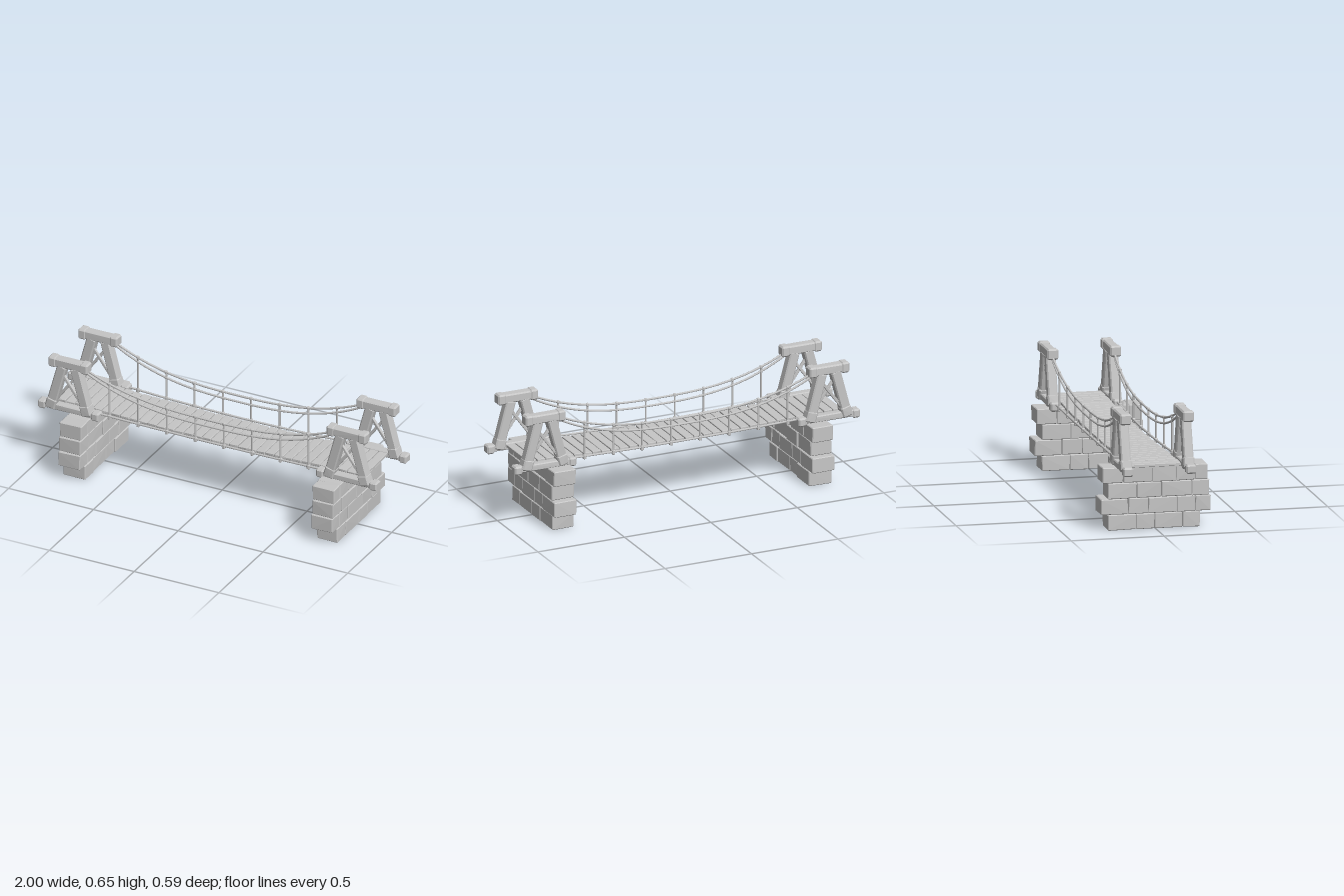
import * as THREE from 'three';
import { ConvexGeometry } from 'three/addons/geometries/ConvexGeometry.js';

const grey = new THREE.MeshStandardMaterial({ color: 0xc6c6c6 });
grey.name = 'weathered grey';

let seed = 7;
const rand = () => {
  seed = (seed * 16807) % 2147483647;
  return seed / 2147483647 - 0.5;
};

// Box with chamfered edges; jitter shifts its corners for a hand-cut look
function block(w, h, d, c, jitter = 0) {
  const pts = [];
  for (const sx of [-1, 1]) for (const sy of [-1, 1]) for (const sz of [-1, 1]) {
    const x = sx * w / 2 + rand() * jitter;
    const y = sy * h / 2 + rand() * jitter;
    const z = sz * d / 2 + rand() * jitter;
    pts.push(
      new THREE.Vector3(x, y - sy * c, z - sz * c),
      new THREE.Vector3(x - sx * c, y, z - sz * c),
      new THREE.Vector3(x - sx * c, y - sy * c, z));
  }
  return new ConvexGeometry(pts);
}

function add(parent, name, geometry, x = 0, y = 0, z = 0, rz = 0) {
  const mesh = new THREE.Mesh(geometry, grey);
  mesh.name = name;
  mesh.position.set(x, y, z);
  mesh.rotation.z = rz;
  parent.add(mesh);
  return mesh;
}

// Squared timber running between two points in the xy plane
function timber(parent, name, a, b, w, d, z = 0) {
  const dx = b[0] - a[0], dy = b[1] - a[1];
  return add(parent, name, block(w, Math.hypot(dx, dy), d, w * 0.12, 0.002),
    (a[0] + b[0]) / 2, (a[1] + b[1]) / 2, z, Math.atan2(-dx, dy));
}

// Stone pier: joints between the stones of each course, along z
const courses = [
  [0.238, 0.143, -0.007, -0.105, -0.257],
  [0.296, 0.212, 0.114, -0.04, -0.149, -0.295],
  [0.288, 0.192, 0.03, -0.102, -0.257],
  [0.281, 0.211, 0.11, -0.02, -0.175, -0.285],
];
function makePier(name, x) {
  const pier = new THREE.Group();
  pier.name = name;
  pier.position.x = x;
  courses.forEach((joints, row) => {
    for (let i = 0; i + 1 < joints.length; i++) {
      add(pier, 'stone', block(0.126 + rand() * 0.008, 0.083, joints[i] - joints[i + 1] - 0.001, 0.004, 0.003),
        rand() * 0.005, 0.0445 + row * 0.0838, (joints[i] + joints[i + 1]) / 2);
    }
  });
  return pier;
}

// A-frame tower with base beam, cap beam, two legs and crossed braces
function makeTower() {
  const tower = new THREE.Group();
  tower.name = 'tower';
  add(tower, 'baseBeam', block(0.34, 0.036, 0.044, 0.005, 0.002), 0, 0.353);
  add(tower, 'capBeam', block(0.21, 0.05, 0.052, 0.007, 0.002), 0, 0.619);
  for (const s of [-1, 1]) {
    add(tower, 'baseEnd', block(0.044, 0.048, 0.055, 0.008), s * 0.157, 0.35);
    add(tower, 'capEnd', block(0.045, 0.058, 0.06, 0.008), s * 0.093, 0.619);
    timber(tower, 'leg', [s * 0.108, 0.345], [s * 0.038, 0.605], 0.054, 0.052);
    timber(tower, 'legFoot', [s * 0.109, 0.342], [s * 0.093, 0.4], 0.058, 0.059);
    timber(tower, 'brace', [s * 0.085, 0.385], [-s * 0.04, 0.555], 0.016, 0.014, s * 0.008);
  }
  return tower;
}

const deckTop = x => 0.356 + 0.016 * Math.min(1, (x / 0.75) ** 2);
const railY = (x, low, rise) => low + rise * (Math.abs(x) / 0.72) ** 2.7;
const deckMid = -0.022;

// Rope following a height rule, bowed slightly inward at mid span
const ropeBow = x => 0.155 + 0.012 * (x / 0.72) ** 2;
function rope(parent, name, side, half, radius, heightAt) {
  const pts = [];
  for (let i = 0; i <= 20; i++) {
    const x = half * (i / 10 - 1);
    pts.push(new THREE.Vector3(x, heightAt(x), deckMid + side * ropeBow(x)));
  }
  add(parent, name, new THREE.TubeGeometry(new THREE.CatmullRomCurve3(pts), 48, radius, 8));
}

export function createModel() {
  const model = new THREE.Group();
  model.name = 'ropeBridge';

  // Stone piers
  model.add(makePier('pierRightEnd', 0.741), makePier('pierLeftEnd', -0.75));

  // Four towers
  for (const x of [-0.821, 0.82]) for (const z of [-0.19, 0.148]) {
    const tower = makeTower();
    tower.position.set(x, 0, z);
    model.add(tower);
  }

  // Deck planks
  const count = 34, start = -0.92, pitch = 1.818 / count;
  for (let i = 0; i < count; i++) {
    const x = start + (i + 0.5) * pitch;
    const plank = add(model, 'plank', block(0.048, 0.015, 0.266 + rand() * 0.008, 0.002, 0.002),
      x, deckTop(x) - 0.0075, deckMid + rand() * 0.004,
      Math.atan((deckTop(x + 0.01) - deckTop(x - 0.01)) / 0.02));
    plank.rotation.y = rand() * 0.02;
  }

  // Continuous underside, bent to the sag of the deck
  const under = new THREE.BoxGeometry(1.8, 0.01, 0.25, 40, 1, 1);
  const pos = under.attributes.position;
  for (let i = 0; i < pos.count; i++) {
    const x = pos.getX(i) - 0.014;
    pos.setXYZ(i, x, pos.getY(i) + deckTop(x) - 0.016, pos.getZ(i) + deckMid);
  }
  under.computeVertexNormals();
  add(model, 'deckUnderside', under);

  // Rails, deck ropes and hangers on both sides
  for (const side of [-1, 1]) {
    rope(model, 'upperRailRope', side, 0.74, 0.006, x => railY(x, 0.48, 0.122));
    rope(model, 'lowerRailRope', side, 0.75, 0.006, x => railY(x, 0.443, 0.142));
    rope(model, 'deckRope', side, 0.7, 0.006, x => deckTop(x) - 0.006);
    for (let i = 0; i < 8; i++) {
      const x = -0.592 + i * 0.1677;
      const z = deckMid + side * ropeBow(x);
      const top = railY(x, 0.48, 0.122), low = railY(x, 0.443, 0.142), foot = deckTop(x) - 0.02;
      add(model, 'hanger', new THREE.CylinderGeometry(0.0055, 0.0055, top - foot, 8), x, (top + foot) / 2, z);
      add(model, 'upperKnot', block(0.016, 0.017, 0.016, 0.003), x, top, z);
      add(model, 'lowerKnot', block(0.014, 0.014, 0.014, 0.003), x, low, z);
      add(model, 'footKnot', block(0.017, 0.026, 0.017, 0.003), x, foot + 0.011, z);
    }
  }
  return model;
}
